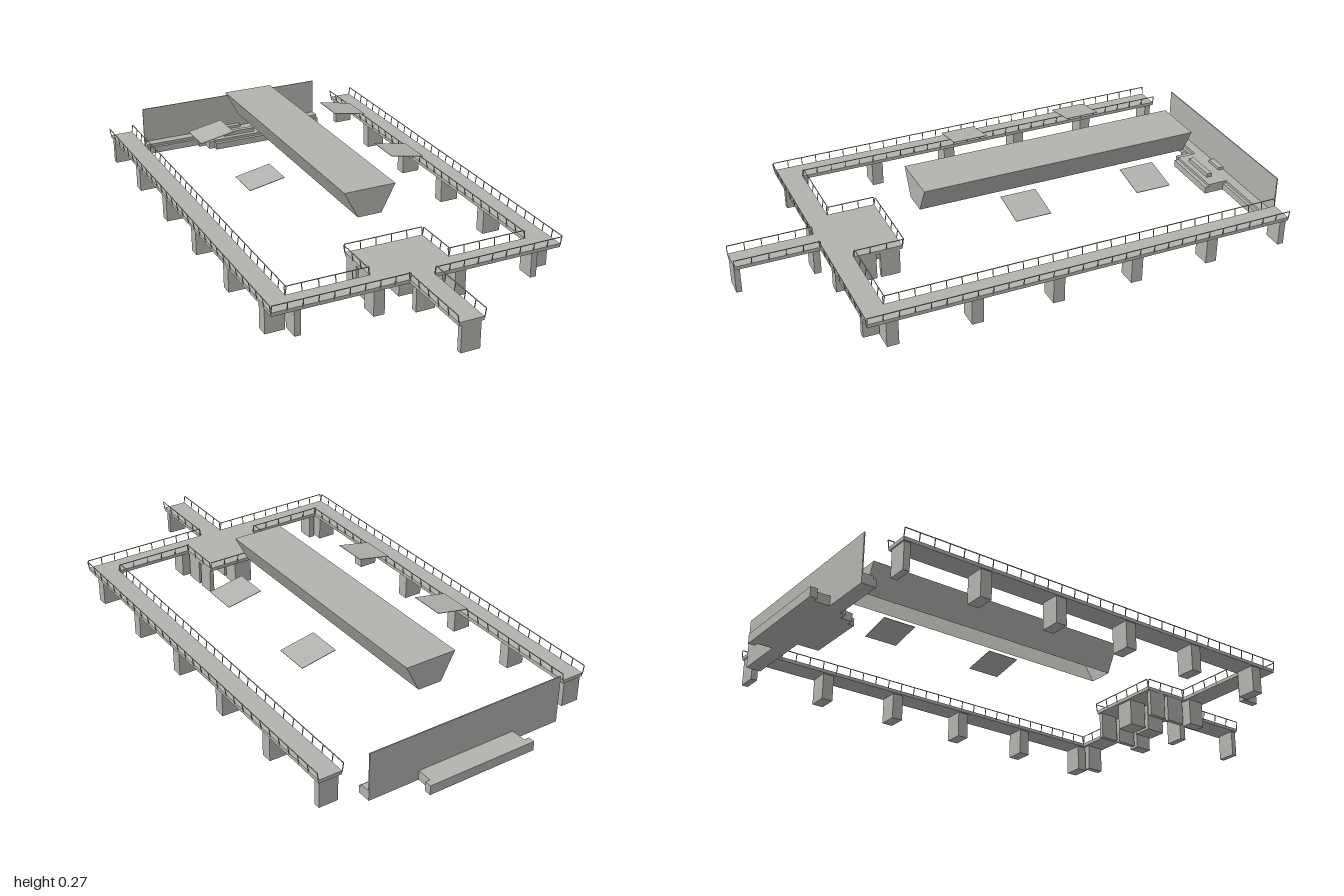
import * as THREE from 'three';
import { mergeGeometries } from 'three/addons/utils/BufferGeometryUtils.js';

export function createModel() {
  const model = new THREE.Group();
  const grey = new THREE.MeshStandardMaterial({ color: 0xb2b2ae, side: THREE.DoubleSide });
  grey.name = 'concrete grey';

  function add(name, geometry) {
    const mesh = new THREE.Mesh(geometry, grey);
    mesh.name = name;
    model.add(mesh);
    return mesh;
  }
  // box given by its minimum and maximum on each axis
  function box(name, x0, x1, y0, y1, z0, z1) {
    const g = new THREE.BoxGeometry(x1 - x0, y1 - y0, z1 - z0);
    return add(name, g.translate((x0 + x1) / 2, (y0 + y1) / 2, (z0 + z1) / 2));
  }
  function bar(a, b, t) {
    const d = b.clone().sub(a);
    const g = new THREE.BoxGeometry(t, d.length(), t);
    g.applyQuaternion(new THREE.Quaternion().setFromUnitVectors(new THREE.Vector3(0, 1, 0), d.normalize()));
    return g.translate((a.x + b.x) / 2, (a.y + b.y) / 2, (a.z + b.z) / 2);
  }

  // walkway deck: one outline, half of it mirrored (x, z)
  const half = [[0.045, 1], [0.045, 0.7], [0.53, 0.7], [0.53, -0.87],
    [0.445, -0.87], [0.445, 0.615], [0.147, 0.615], [0.147, 0.44]];
  const outline = [...half, ...half.map(([x, z]) => [-x, z]).reverse()];
  const shape = new THREE.Shape(outline.map(([x, z]) => new THREE.Vector2(x, -z)));
  const deck = new THREE.ExtrudeGeometry(shape, { depth: 0.013, bevelEnabled: false });
  deck.rotateX(-Math.PI / 2).translate(0, 0.097, 0);
  add('walkwayDeck', deck);

  // railings: leaning posts and a top rail on every deck edge but the open ends
  const deckTop = 0.11, railTop = 0.137, lean = 0.005;
  const rails = [];
  for (let i = 0; i < outline.length - 1; i++) {
    const [ax, az] = outline[i], [bx, bz] = outline[i + 1];
    if (az === -0.87 && bz === -0.87) continue;
    const length = Math.hypot(bx - ax, bz - az);
    const nx = -(bz - az) / length * lean, nz = (bx - ax) / length * lean;
    const foot = t => new THREE.Vector3(ax + (bx - ax) * t, deckTop - 0.005, az + (bz - az) * t);
    const head = t => foot(t).add(new THREE.Vector3(nx, railTop - deckTop + 0.005, nz));
    const count = Math.max(2, Math.round(length / 0.055));
    for (let k = 0; k <= count; k++) rails.push(bar(foot(k / count), head(k / count), 0.0025));
    rails.push(bar(head(0), head(1), 0.0025));
  }
  add('railings', mergeGeometries(rails));

  // supports under the decks
  const under = 0.098;
  for (const s of [-1, 1]) {
    const pier = (name, cx, w, z0, z1) => box(name, s * cx - w / 2, s * cx + w / 2, 0, under, z0, z1);
    for (const z of [0.615, 0.32, 0.025, -0.27, -0.565]) pier('sidePier', 0.49, 0.07, z - 0.021, z + 0.021);
    pier('endPier', 0.49, 0.07, -0.865, -0.842);
    pier('cornerPier', 0.436, 0.023, 0.625, 0.69);
    pier('frontPier', 0.15, 0.04, 0.625, 0.69);
    pier('platformPier', 0.138, 0.016, 0.535, 0.61);
    pier('platformPier', 0.138, 0.016, 0.45, 0.52);
  }
  for (const [z0, z1] of [[0.98, 1], [0.7, 0.725], [0.535, 0.61], [0.45, 0.52]]) {
    box('jettyPier', -0.035, 0.035, 0, under, z0, z1);
  }

  // hanging trough: tapered section, open underneath
  const tw = 0.097, bw = 0.045, ty = 0.27, by = 0.17, z0 = -0.72, z1 = 0.335;
  const ring = z => [[-bw, by, z], [bw, by, z], [tw, ty, z], [-tw, ty, z]];
  const trough = new THREE.BufferGeometry();
  trough.setAttribute('position', new THREE.Float32BufferAttribute([...ring(z0), ...ring(z1)].flat(), 3));
  trough.setIndex([4, 5, 6, 4, 6, 7, 1, 0, 3, 1, 3, 2, // ends
    5, 1, 2, 5, 2, 6, 0, 4, 7, 0, 7, 3, // sloping sides
    7, 6, 2, 7, 2, 3]); // top
  const troughFlat = trough.toNonIndexed();
  troughFlat.computeVertexNormals();
  add('overheadTrough', troughFlat);

  // four tilted thin panels
  for (const s of [-1, 1]) for (const z of [0.035, -0.425]) {
    const panel = add('tiltedPanel', new THREE.BoxGeometry(0.132, 0.002, 0.13));
    panel.position.set(s * 0.275, 0.243, z);
    panel.rotation.z = -s * 0.19;
  }

  // rear wall with its stage
  box('rearWall', -0.38, 0.38, 0, 0.177, -0.92, -0.916);
  box('stageStrip', -0.38, 0.38, 0, 0.026, -0.916, -0.868);
  box('stageLedge', -0.38, 0.38, 0.026, 0.036, -0.916, -0.88);
  box('stageFront', -0.115, 0.115, 0, 0.026, -0.868, -0.79);
  box('stageRise', -0.115, 0.115, 0.026, 0.036, -0.88, -0.805);
  box('stageSideStep', -0.138, -0.115, 0, 0.03, -0.868, -0.81);
  box('stageSideStep', -0.167, -0.138, 0, 0.02, -0.868, -0.85);
  box('stageDesk', -0.066, 0.066, 0.036, 0.052, -0.845, -0.825);
  box('stageBlock', -0.035, 0.035, 0.036, 0.046, -0.916, -0.895);
  box('rearPlatform', -0.19, 0.19, 0, 0.035, -0.98, -0.92);
  box('rearStep', -0.21, 0.207, 0, 0.035, -1, -0.975);

  return model;
}
